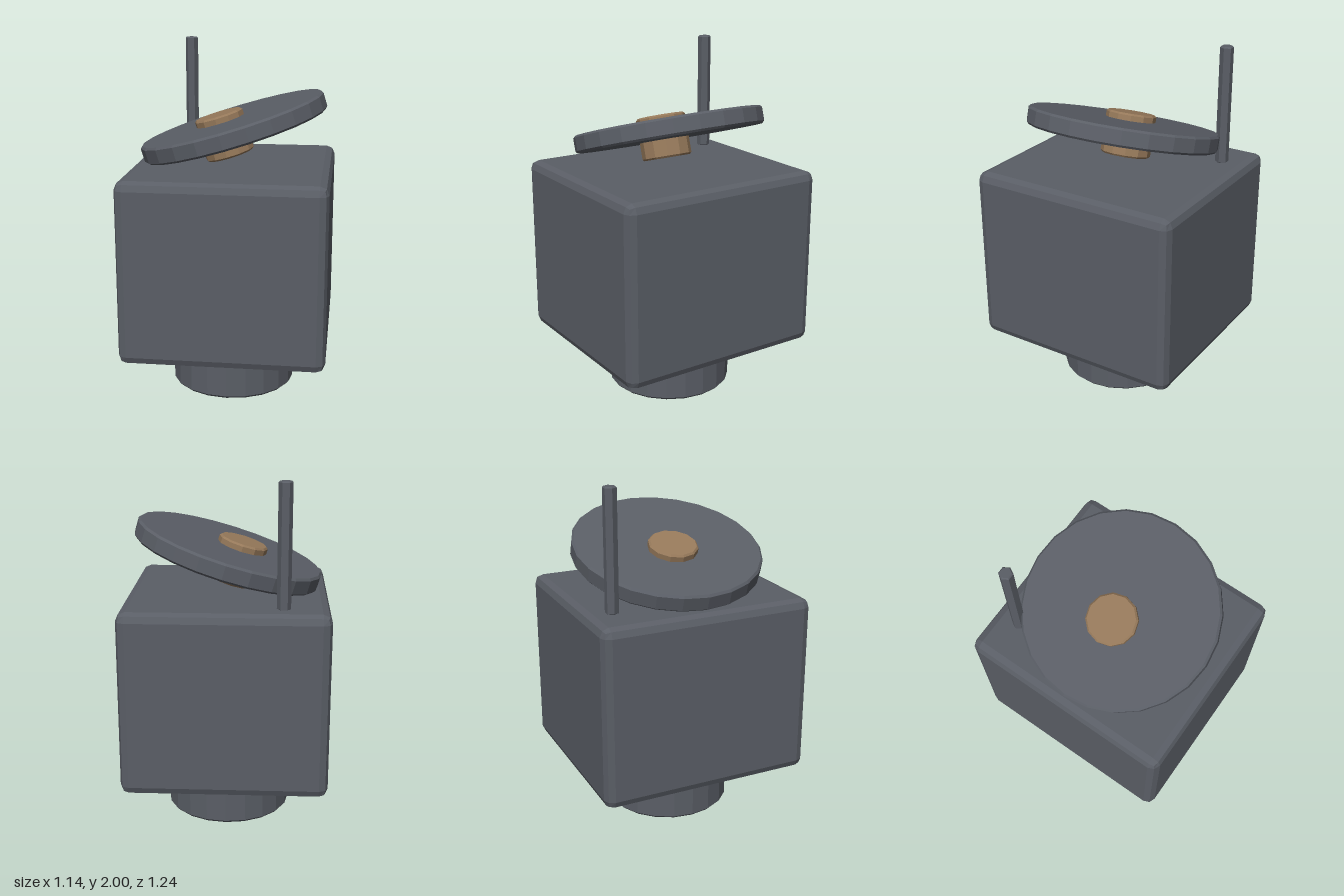
import * as THREE from 'three';

const material = (name, color) => {
  const m = new THREE.MeshStandardMaterial({ color });
  m.name = name;
  m.flatShading = true;
  return m;
};

// Faceted cylinder with a small bevel on both rims, centred on its middle
function bevelledCylinder(radius, height, sides, bevel) {
  const h = height / 2;
  const profile = [
    [0, -h], [radius - bevel, -h], [radius, -h + bevel],
    [radius, h - bevel], [radius - bevel, h], [0, h],
  ].map(([x, y]) => new THREE.Vector2(x, y));
  return new THREE.LatheGeometry(profile, sides);
}

// Box whose edges are rounded in two facets
function bevelledBox(width, height, depth, r) {
  const geo = new THREE.BoxGeometry(2, 2, 2, 3, 3, 3);
  const pos = geo.attributes.position;
  const core = new THREE.Vector3(width / 2 - r, height / 2 - r, depth / 2 - r);
  const outer = (v) => (Math.abs(v) > 0.9 ? Math.sign(v) : 0);
  const p = new THREE.Vector3();
  const dir = new THREE.Vector3();
  for (let i = 0; i < pos.count; i++) {
    p.fromBufferAttribute(pos, i);
    dir.set(outer(p.x), outer(p.y), outer(p.z)).normalize().multiplyScalar(r);
    p.set(Math.sign(p.x), Math.sign(p.y), Math.sign(p.z)).multiply(core).add(dir);
    pos.setXYZ(i, p.x, p.y, p.z);
  }
  geo.computeVertexNormals();
  return geo;
}

export function createModel() {
  const model = new THREE.Group();
  model.name = 'beaconUnit';
  const grey = material('slate grey', 0x5a5e66);
  const tan = material('tan', 0x96795a);

  const add = (name, geometry, mat, x, y, z) => {
    const mesh = new THREE.Mesh(geometry, mat);
    mesh.name = name;
    mesh.position.set(x, y, z);
    model.add(mesh);
    return mesh;
  };

  // Round foot and box housing
  add('pedestal', bevelledCylinder(0.36, 0.29, 20, 0.015), grey, 0, 0.145, 0);
  add('housing', bevelledBox(1.14, 1.035, 1.24, 0.05), grey, 0, 0.8075, 0);

  // Tilted dish with its hub
  const tilt = 0.3;
  add('dish', bevelledCylinder(0.545, 0.1, 24, 0.012), grey, 0, 1.533, 0).rotation.z = tilt;
  add('hub', bevelledCylinder(0.143, 0.245, 12, 0.01), tan, -0.053, 1.483, 0).rotation.z = tilt;

  // Six-sided mast at the back right corner
  add('mast', bevelledCylinder(0.038, 0.68, 6, 0.007), grey, -0.315, 1.66, -0.468).rotation.y = Math.PI / 2;

  return model;
}
